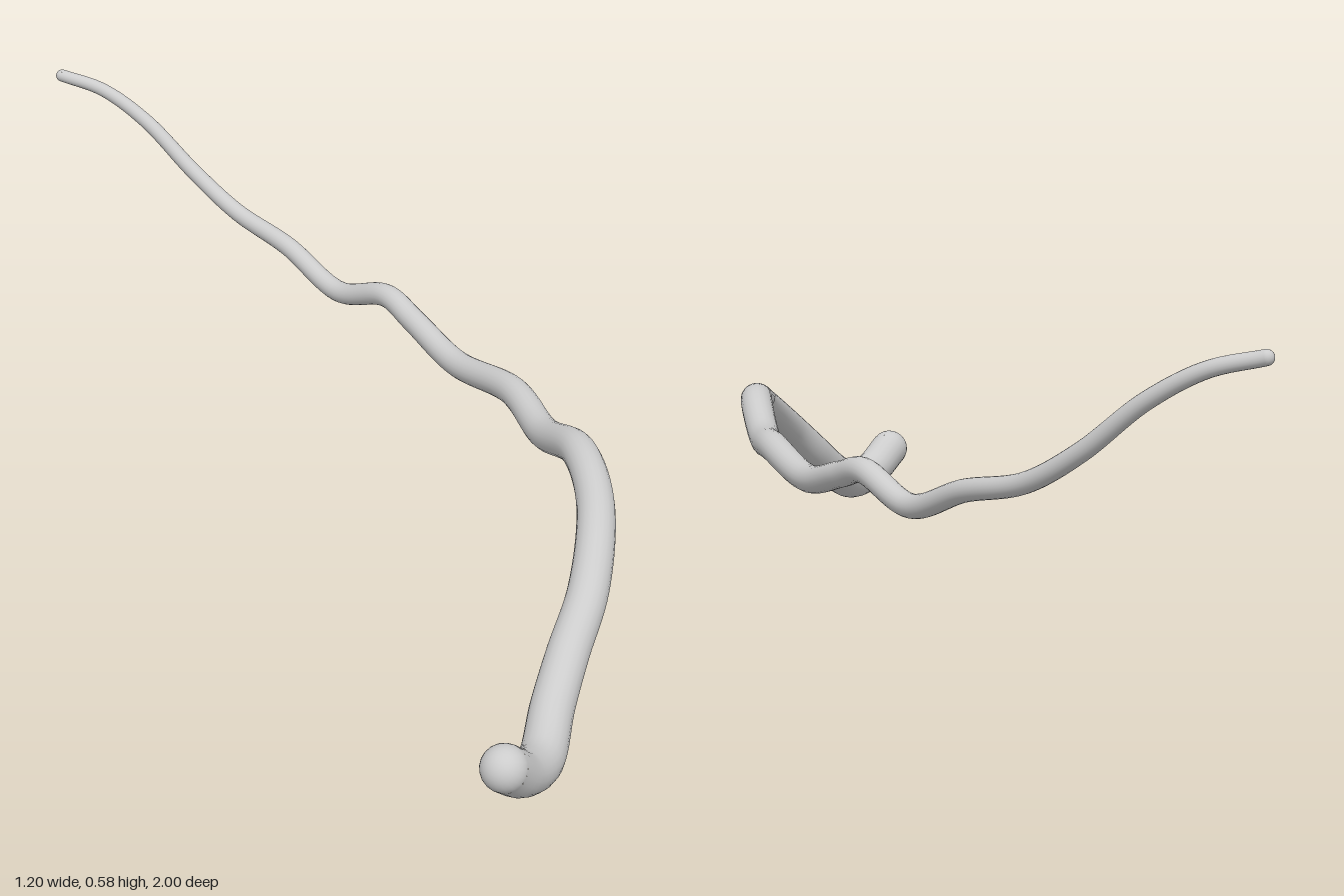
import * as THREE from 'three';

const SEGMENTS = 180, SIDES = 20;
const THICK = 0.04, THIN = 0.013;

// Centre line, from the thick end to the thin tip
const path = new THREE.CatmullRomCurve3([
  [-0.56, 0.095, 0.96], [-0.5, 0.055, 0.953], [-0.43, 0.041, 0.94], [-0.33, 0.08, 0.893],
  [-0.25, 0.132, 0.865], [-0.15, 0.2, 0.835], [0, 0.275, 0.745], [0.11, 0.303, 0.635],
  [0.22, 0.258, 0.485], [0.32, 0.266, 0.345], [0.41, 0.24, 0.145], [0.465, 0.272, 0],
  [0.495, 0.292, -0.09], [0.528, 0.253, -0.24], [0.56, 0.302, -0.4], [0.58, 0.337, -0.56],
  [0.58, 0.4, -0.68], [0.565, 0.49, -0.8], [0.54, 0.545, -0.9], [0.505, 0.568, -0.987],
].map(p => new THREE.Vector3(...p)));

const material = new THREE.MeshStandardMaterial({ color: 0xcccccc });

// Tube whose radius shrinks evenly along its length
function taperedTube() {
  const geometry = new THREE.TubeGeometry(path, SEGMENTS, 1, SIDES);
  const pos = geometry.attributes.position, nor = geometry.attributes.normal;
  const p = new THREE.Vector3(), n = new THREE.Vector3();
  for (let i = 0; i < pos.count; i++) {
    const t = Math.floor(i / (SIDES + 1)) / SEGMENTS;
    n.fromBufferAttribute(nor, i);
    p.copy(path.getPointAt(t)).addScaledVector(n, THREE.MathUtils.lerp(THICK, THIN, t));
    pos.setXYZ(i, p.x, p.y, p.z);
  }
  return geometry;
}

// Half sphere closing one end of the tube
function endCap(name, t, radius) {
  const cap = new THREE.Mesh(
    new THREE.SphereGeometry(radius, SIDES, 8, 0, Math.PI * 2, 0, Math.PI / 2), material);
  const outward = path.getTangentAt(t).multiplyScalar(t === 0 ? -1 : 1);
  cap.quaternion.setFromUnitVectors(new THREE.Vector3(0, 1, 0), outward);
  cap.position.copy(path.getPointAt(t));
  cap.name = name;
  return cap;
}

export function createModel() {
  const group = new THREE.Group();
  group.name = 'taperedStrand';
  const body = new THREE.Mesh(taperedTube(), material);
  body.name = 'body';
  group.add(body, endCap('thickEnd', 0, THICK), endCap('thinTip', 1, THIN));
  return group;
}
